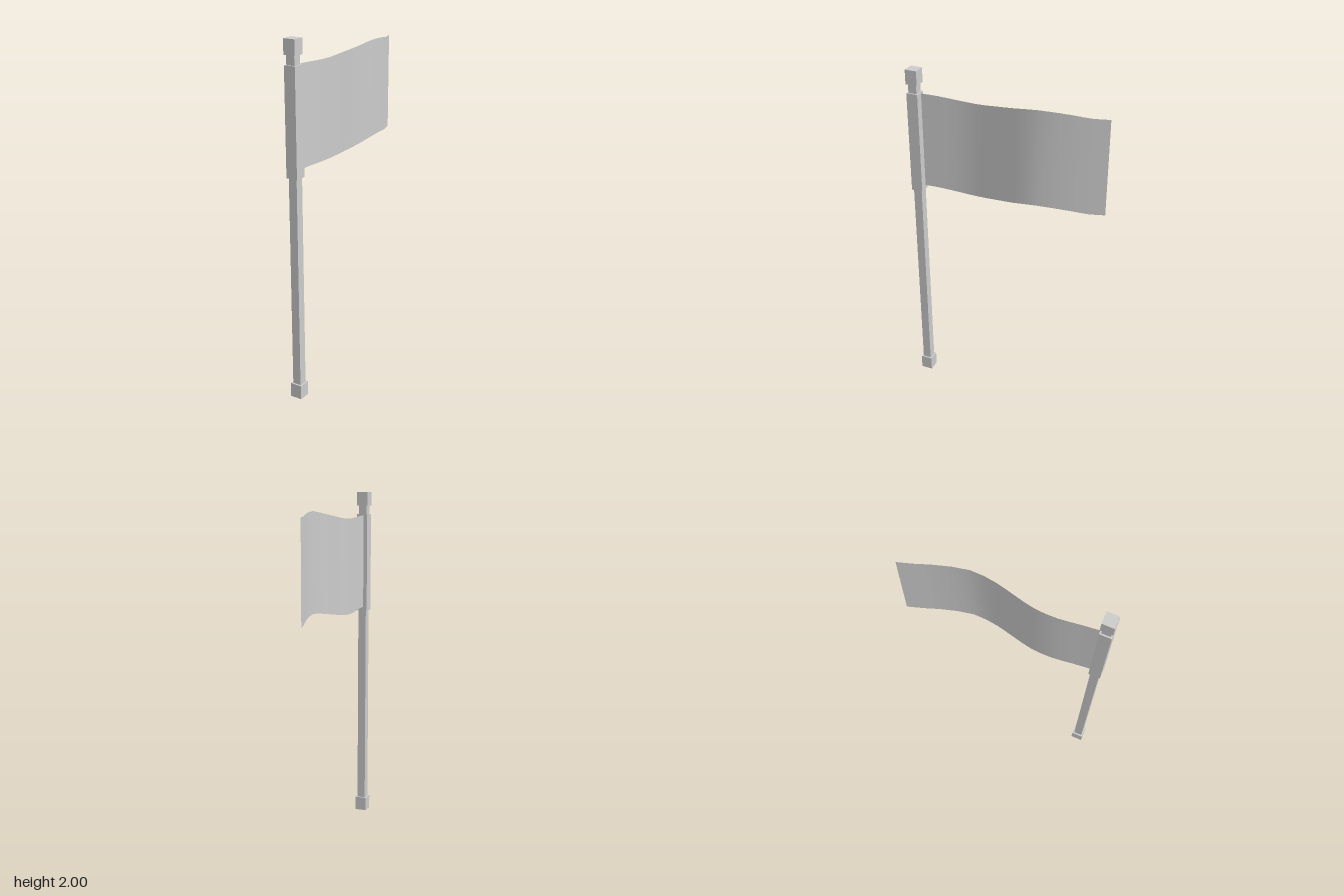
import * as THREE from 'three';

const PX = 0.022, PZ = 0.526; // pole axis

export function createModel() {
  const model = new THREE.Group();
  const grey = new THREE.MeshStandardMaterial({ color: 0xcccccc, flatShading: true });
  const clothGrey = new THREE.MeshStandardMaterial({ color: 0xcccccc, side: THREE.DoubleSide });

  // Square bars stacked on the pole axis
  const bar = (name, width, y0, y1) => {
    const mesh = new THREE.Mesh(new THREE.BoxGeometry(width, y1 - y0, width), grey);
    mesh.position.set(PX, (y0 + y1) / 2, PZ);
    mesh.name = name;
    model.add(mesh);
  };
  bar('pole', 0.049, 0.04, 1.96);
  bar('poleFoot', 0.068, 0, 0.082);
  bar('poleCap', 0.068, 1.918, 2);
  bar('flagSleeve', 0.066, 1.282, 1.867);

  // Rippling cloth: the top edge is a curve, the sheet hangs straight down from it
  const topEdge = new THREE.CatmullRomCurve3([
    [0.012, 1.86, 0.495], [0.003, 1.857, 0.4], [-0.008, 1.847, 0.28],
    [-0.005, 1.845, 0.16], [0.015, 1.86, 0.04], [0.033, 1.874, -0.06],
    [0.037, 1.888, -0.2], [-0.003, 1.874, -0.38], [-0.03, 1.861, -0.47],
    [-0.058, 1.859, -0.56],
  ].map((p) => new THREE.Vector3(...p)));
  const drop = 0.555, steps = 18;
  const cloth = new THREE.PlaneGeometry(1, 1, steps, 1);
  const pos = cloth.attributes.position;
  for (let i = 0; i < pos.count; i++) {
    const p = topEdge.getPoint(pos.getX(i) + 0.5);
    pos.setXYZ(i, p.x, pos.getY(i) > 0 ? p.y : p.y - drop, p.z);
  }
  cloth.computeVertexNormals();
  const flag = new THREE.Mesh(cloth, clothGrey);
  flag.name = 'flagCloth';
  model.add(flag);

  return model;
}
